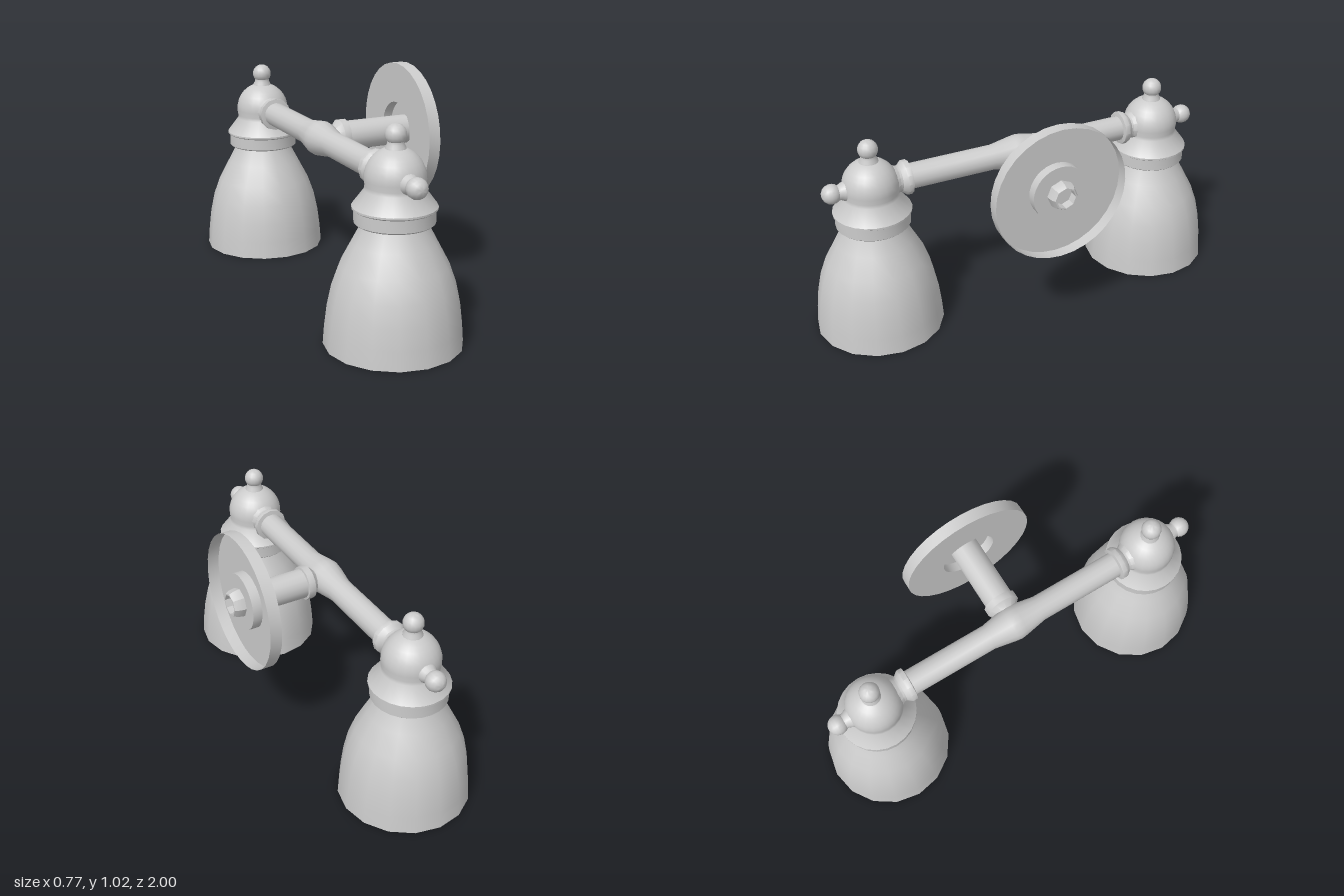
import * as THREE from 'three';
import { toCreasedNormals } from 'three/addons/utils/BufferGeometryUtils.js';

const material = new THREE.MeshStandardMaterial({ color: 0xcccccc, side: THREE.DoubleSide });
const AXIS_Y = 0.708; // height of the arm and wall mount
const ARM_X = -0.095;
const LAMP_Z = 0.708;

// Turned part: profile of [radius, height] pairs, listed from bottom to top
function turned(name, profile, segments = 16, crease = 0.6) {
  const points = profile.map(([r, h]) => new THREE.Vector2(r, h));
  const geometry = toCreasedNormals(new THREE.LatheGeometry(points, segments), crease);
  const mesh = new THREE.Mesh(geometry, material);
  mesh.name = name;
  return mesh;
}

// Points along a circular arc, for domes and balls; angles measured from the equator
function arc(radius, centre, from, to, steps) {
  return Array.from({ length: steps + 1 }, (_, i) => {
    const a = from + ((to - from) * i) / steps;
    return [Math.max(0, radius * Math.cos(a)), centre + radius * Math.sin(a)];
  });
}

// Knob on a flared neck, pointing up from the dome centre
function knob(name) {
  return turned(name, [
    [0.046, 0.105], [0.042, 0.125], [0.035, 0.138], [0.034, 0.148],
    ...arc(0.045, 0.176, -0.55, Math.PI / 2, 6),
  ]);
}

function createLamp() {
  const lamp = new THREE.Group();

  // Open glass shade
  lamp.add(turned('shade', [
    [0.292, 0], [0.286, 0.08], [0.275, 0.17], [0.256, 0.26],
    [0.226, 0.345], [0.176, 0.44], [0.134, 0.52], [0.125, 0.55],
  ]));

  // Holder: ring, lip, cone and dome
  lamp.add(turned('shadeHolder', [
    [0.12, 0.52], [0.16, 0.52], [0.167, 0.526], [0.167, 0.578], [0.176, 0.584],
    [0.176, 0.592], [0.125, 0.66],
    ...arc(0.127, AXIS_Y, -0.25, Math.PI / 2, 9),
  ], 24));

  // Bulb with its neck reaching into the holder
  lamp.add(turned('bulb', [
    ...arc(0.11, 0.23, -Math.PI / 2, 0.75, 9),
    [0.055, 0.36], [0.045, 0.42], [0.045, 0.55],
  ]));

  // Knobs on the top and on the outer side
  const topKnob = knob('topKnob');
  topKnob.position.y = AXIS_Y;
  const sideKnob = knob('sideKnob');
  sideKnob.position.y = AXIS_Y;
  sideKnob.rotation.x = Math.PI / 2;
  lamp.add(topKnob, sideKnob);

  // Collar where the arm meets the dome, at the inner side
  const collar = turned('armCollar', [
    [0.078, 0.09], [0.06, 0.122], [0.06, 0.132], [0.076, 0.15],
    [0.078, 0.154], [0.078, 0.176], [0.058, 0.18],
  ], 12);
  collar.position.y = AXIS_Y;
  collar.rotation.x = -Math.PI / 2;
  lamp.add(collar);
  return lamp;
}

// Wall mount, turned about the x axis
function createWallMount() {
  const mount = new THREE.Group();
  mount.name = 'wallMount';
  mount.add(
    turned('stemCollar', [
      [0.045, -0.05], [0.05, -0.032], [0.078, -0.006], [0.078, 0.026], [0.066, 0.028],
    ], 12),
    turned('stem', [[0.067, 0.02], [0.067, 0.335]], 16),
    // Hollow dish, open towards the wall, with a raised hub
    turned('wallPlate', [
      [0, 0.335], [0.13, 0.335], [0.13, 0.291], [0.312, 0.291], [0.312, 0.346],
    ].reverse().map(([r, h]) => [r, h]), 32),
    // Hollow threaded end
    turned('mountNipple', [
      [0.066, 0.33], [0.066, 0.345], [0.061, 0.37], [0.053, 0.386], [0.046, 0.386],
      [0.046, 0.345], [0, 0.345],
    ], 8),
  );
  mount.rotation.z = -Math.PI / 2;
  mount.position.y = AXIS_Y;
  return mount;
}

export function createModel() {
  const model = new THREE.Group();
  model.name = 'wallLight';

  // Cross arm with a swelling in the middle
  const arm = turned('crossArm', [
    [0.058, -0.6], [0.058, -0.13], [0.077, -0.025], [0.08, 0],
    [0.077, 0.025], [0.058, 0.13], [0.058, 0.6],
  ], 16);
  arm.rotation.x = Math.PI / 2;
  arm.position.set(ARM_X, AXIS_Y, 0);
  model.add(arm, createWallMount());

  // A lamp at each end of the arm, knobs facing outwards
  for (const side of [1, -1]) {
    const lamp = createLamp();
    lamp.name = side > 0 ? 'frontLamp' : 'backLamp';
    lamp.position.set(ARM_X, 0, side * LAMP_Z);
    if (side < 0) lamp.rotation.y = Math.PI;
    model.add(lamp);
  }
  return model;
}
